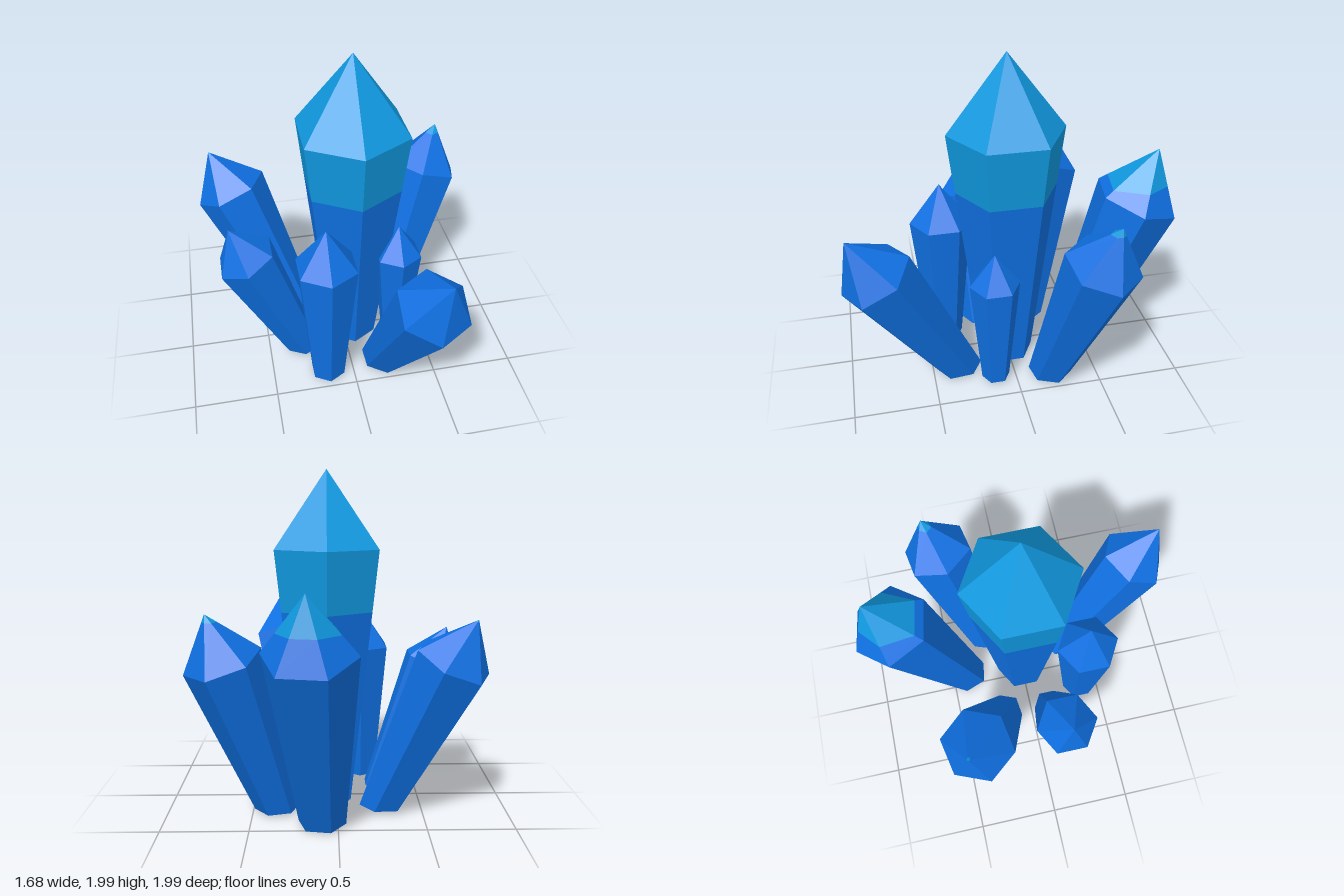
import * as THREE from 'three';

const SPLIT = 1.18; // height where the crystals turn from blue to pale blue
const V = (x, y, z) => new THREE.Vector3(x, y, z);

// Part of a polygon above (sign 1) or below (sign -1) the split height
function clip(poly, sign) {
  const out = [];
  poly.forEach((a, i) => {
    const b = poly[(i + 1) % poly.length];
    const da = (a.y - SPLIT) * sign, db = (b.y - SPLIT) * sign;
    if (da >= 0) out.push(a);
    if (da * db < 0) out.push(a.clone().lerp(b, da / (da - db)));
  });
  return out;
}

function facesToGeometry(faces) {
  const pts = [];
  for (const f of faces)
    for (let i = 1; i < f.length - 1; i++) pts.push(f[0], f[i], f[i + 1]);
  if (!pts.length) return null;
  const g = new THREE.BufferGeometry().setFromPoints(pts);
  g.computeVertexNormals();
  return g;
}

// Six-sided crystal: flat foot, shoulder ring square to the axis, pointed tip.
// corner = x,z offset of one shoulder corner from the shoulder centre
function crystalFaces({ foot, shoulder, tip, corner, taper }) {
  const f = V(...foot), s = V(...shoulder), t = V(...tip);
  const n = t.clone().sub(f).normalize();
  const u = V(corner[0], -(n.x * corner[0] + n.z * corner[1]) / n.y, corner[1]);
  const v = n.clone().cross(u);
  const top = [], base = [];
  for (let i = 0; i < 6; i++) {
    const a = i * Math.PI / 3;
    const r = u.clone().multiplyScalar(Math.cos(a)).addScaledVector(v, Math.sin(a));
    const p = s.clone().add(r), q = f.clone().addScaledVector(r, taper);
    // slide the lower end along its edge to the level foot
    q.lerp(p, (f.y - q.y) / (p.y - q.y));
    top.push(p);
    base.push(q);
  }
  const faces = [base.slice().reverse()];
  for (let i = 0; i < 6; i++) {
    const j = (i + 1) % 6;
    faces.push([base[i], base[j], top[j], top[i]], [top[i], top[j], t]);
  }
  return faces;
}

const CRYSTALS = {
  mainCrystal: { foot: [0.06, 0, 0], shoulder: [0.06, 1.54, 0], tip: [0.06, 1.99, 0], corner: [0, 0.345], taper: 0.48 },
  backCrystal: { foot: [0.09, 0.005, -0.4], shoulder: [0.148, 1.07, -0.773], tip: [0.165, 1.39, -0.88], corner: [0.252, 0.043], taper: 0.54 },
  frontCrystal: { foot: [0.195, 0.015, 0.33], shoulder: [0.345, 0.87, 0.797], tip: [0.39, 1.13, 0.94], corner: [-0.005, 0.193], taper: 0.57 },
  backLeftCrystal: { foot: [0.355, 0.015, -0.21], shoulder: [0.63, 0.955, -0.415], tip: [0.71, 1.225, -0.475], corner: [0.21, -0.035], taper: 0.56 },
  backRightCrystal: { foot: [-0.26, 0.02, -0.19], shoulder: [-0.635, 0.945, -0.41], tip: [-0.75, 1.19, -0.47], corner: [-0.205, 0.04], taper: 0.56 },
  rightCrystal: { foot: [-0.28, 0.025, 0.13], shoulder: [-0.6, 0.82, 0.137], tip: [-0.685, 1.04, 0.145], corner: [0, 0.186], taper: 0.57 },
  uprightFrontCrystal: { foot: [-0.16, 0.015, 0.37], shoulder: [-0.16, 0.88, 0.37], tip: [-0.16, 1.13, 0.37], corner: [0, 0.19], taper: 0.57 },
  smallLeftCrystal: { foot: [0.328, 0.015, 0.125], shoulder: [0.328, 0.7, 0.125], tip: [0.328, 0.9, 0.125], corner: [0, 0.15], taper: 0.57 },
};

export function createModel() {
  const blue = new THREE.MeshStandardMaterial({ color: 0x0f70e2 });
  blue.name = 'crystalBlue';
  const pale = new THREE.MeshStandardMaterial({ color: 0x1099e0 });
  pale.name = 'paleBlue';

  const model = new THREE.Group();
  model.name = 'crystalCluster';
  for (const [name, spec] of Object.entries(CRYSTALS)) {
    const crystal = new THREE.Group();
    crystal.name = name;
    const faces = crystalFaces(spec);
    for (const [part, sign, material] of [['lowerBody', -1, blue], ['upperBody', 1, pale]]) {
      const geometry = facesToGeometry(faces.map((f) => clip(f, sign)));
      if (!geometry) continue;
      const mesh = new THREE.Mesh(geometry, material);
      mesh.name = part;
      crystal.add(mesh);
    }
    model.add(crystal);
  }
  return model;
}
